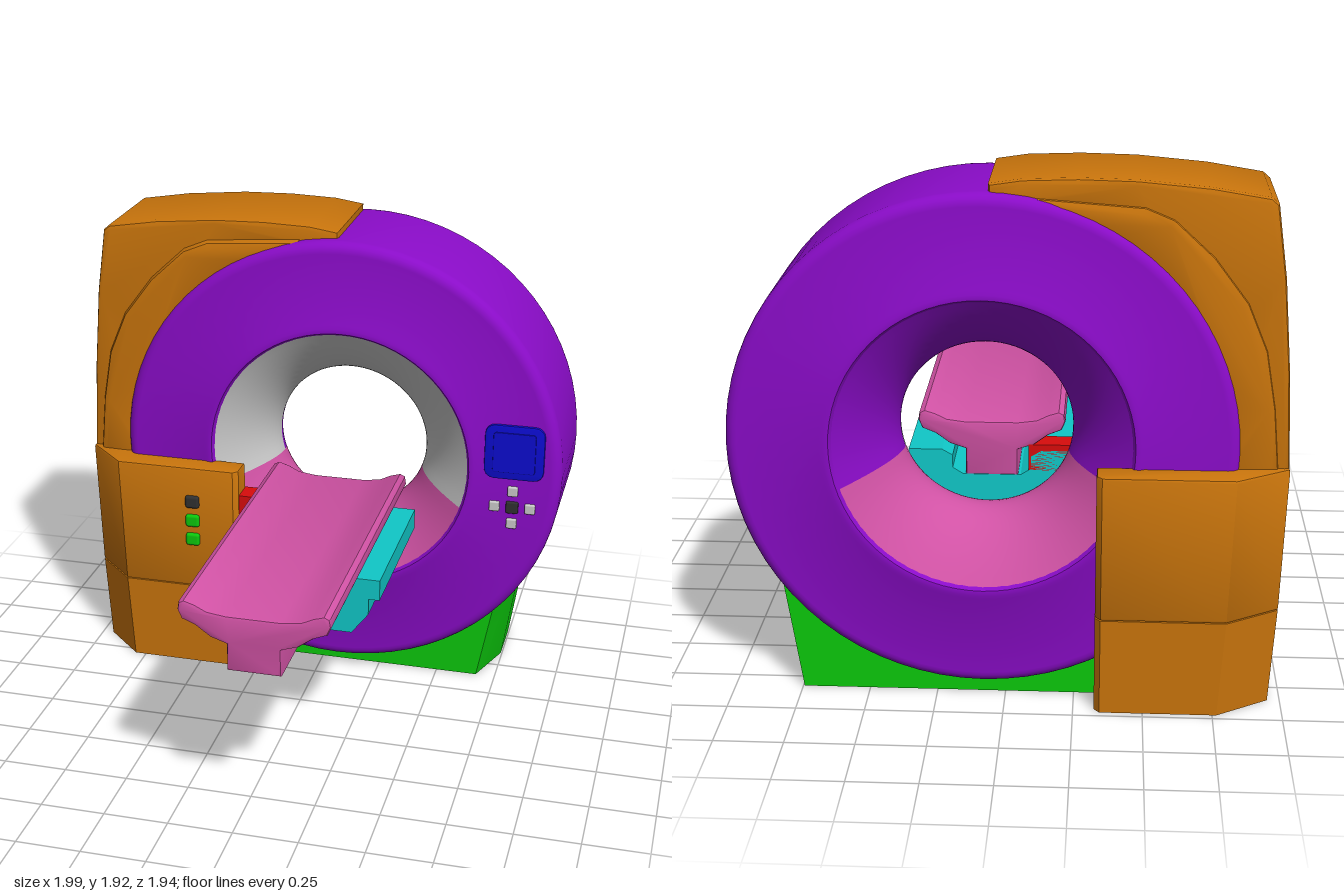
import * as THREE from 'three';
import { toCreasedNormals } from 'three/addons/utils/BufferGeometryUtils.js';
import { RoundedBoxGeometry } from 'three/addons/geometries/RoundedBoxGeometry.js';

const CX = 0.08, CY = 0.965, CZ = -0.595; // ring centre
const rad = THREE.MathUtils.degToRad;

const mat = (color, side = THREE.FrontSide) => new THREE.MeshStandardMaterial({ color, side });
const orange = mat(0xc8740c), purple = mat(0x8a0cc8, THREE.DoubleSide);
const green = mat(0x0cc80c), pink = mat(0xd052a4), pinkShell = mat(0xd052a4, THREE.DoubleSide);
const cyan = mat(0x10c8c8), red = mat(0xd80c0c), blue = mat(0x0c0cd0);
const grey = mat(0xcccccc), greyShell = mat(0xcccccc, THREE.DoubleSide), dark = mat(0x303030);

export function createModel() {
  const model = new THREE.Group();

  const add = (name, geo, material, x = 0, y = 0, z = 0) => {
    const mesh = new THREE.Mesh(geo, material);
    mesh.name = name;
    mesh.position.set(x, y, z);
    model.add(mesh);
    return mesh;
  };
  const shapeOf = pts => new THREE.Shape(pts.map(([x, y]) => new THREE.Vector2(x, y)));

  // Extrusion between two depths; the bevel stays inside the outline
  const slab = (pts, from, to, bevel = 0.012, steps = 1) => {
    const geo = new THREE.ExtrudeGeometry(shapeOf(pts), {
      depth: to - from - 2 * bevel, steps, bevelEnabled: bevel > 0,
      bevelThickness: bevel, bevelSize: bevel, bevelOffset: -bevel, bevelSegments: 2,
    });
    return geo.translate(0, 0, from + bevel);
  };
  const moved = (geo, rule) => {
    const p = geo.attributes.position, v = new THREE.Vector3();
    for (let i = 0; i < p.count; i++) {
      rule(v.fromBufferAttribute(p, i));
      p.setXYZ(i, v.x, v.y, v.z);
    }
    return toCreasedNormals(geo, 0.55);
  };
  // Lathe around the z axis, angle 0 at the bottom
  const ringPart = (name, profile, material, start = 0, sweep = 360) => {
    const pts = profile.map(([r, z]) => new THREE.Vector2(r, z));
    const geo = new THREE.LatheGeometry(pts, Math.ceil(sweep / 5), rad(start), rad(sweep));
    geo.rotateX(Math.PI / 2);
    add(name, toCreasedNormals(geo, 0.7), material, CX, CY, CZ);
  };

  // Gantry ring with rounded rims and a slight lip round the bore
  const half = 0.285, R = 0.91, f = 0.045, rim = [];
  for (let i = 0; i <= 5; i++) {
    const a = (i / 5) * Math.PI / 2;
    rim.push([R - f + f * Math.cos(a), half - f + f * Math.sin(a)]);
  }
  rim.push([0.575, half], [0.56, half + 0.008], [0.54, half + 0.006], [0.53, half - 0.01]);
  const back = rim.map(([r, z]) => [r, -z]).reverse();
  ringPart('gantryRing', [...back, ...rim], purple);

  // Flared bore: front grey, back purple, lower part a pink cradle
  const bore = (from, to) => {
    const pts = [];
    for (let i = 0; i <= 12; i++) {
      const t = from + (to - from) * i / 12;
      pts.push([0.315 + 0.22 * Math.abs(t) ** 1.9, t * (half - 0.006)]);
    }
    return pts;
  };
  ringPart('boreFront', bore(1, 0), greyShell, 72, 216);
  ringPart('boreBack', bore(0, -1), purple, 72, 216);
  ringPart('boreCradle', [...bore(1, 0), ...bore(0, -1).slice(1)], pinkShell, -72, 144);

  // Side tower: clasps the ring front and back, solid at the foot
  const plan = notch => [
    [-1, 0.85], [-1, 0.37], [-0.84, 0.215], [-0.345, 0.215], [-0.325, 0.235],
    ...(notch ? [[-0.325, 0.33], [-0.52, 0.33], [-0.52, 0.86], [-0.325, 0.86]] : []),
    [-0.325, 0.95], [-0.345, 0.975], [-0.81, 0.975],
  ];
  const taper = v => { if (v.x < -0.7) v.x += 0.045 * (1 - v.y / 0.9) ** 1.5; };
  const upright = (pts, from, to, bevel) => moved(slab(pts, from, to, bevel).rotateX(-Math.PI / 2), taper);
  add('towerFoot', upright(plan(false), 0, 0.36, 0), orange);
  add('towerClasp', upright(plan(true), 0.36, 0.9, 0.01), orange);

  // Upper cover wraps the ring's shoulder; a second stepped shell hugs the ring
  const innerArc = (from, to) => {
    const pts = [];
    for (let i = 0; i <= 14; i++) {
      const a = rad(from + (to - from) * i / 14);
      pts.push([CX + 0.85 * Math.cos(a), CY + 0.85 * Math.sin(a)]);
    }
    return pts;
  };
  add('shoulderCover', moved(slab([
    [0.085, 1.9], [-0.06, 1.917], [-0.25, 1.923], [-0.45, 1.918], [-0.7, 1.895], [-0.9, 1.862], [-0.925, 1.84],
    [-0.96, 1.58], [-0.985, 1.25], [-1, 0.88], ...innerArc(187, 90), [0.085, 1.815],
  ], -0.845, -0.375, 0.018), v => {
    // clipped corners at the free end
    if (v.x > 0.03 && Math.abs(v.z + 0.61) > 0.2) v.x -= 0.03;
  }), orange);
  add('shoulderShell', toCreasedNormals(slab([
    [-0.1, 1.86], [-0.48, 1.832], [-0.58, 1.79], [-0.72, 1.66], [-0.84, 1.5], [-0.91, 1.33],
    [-0.945, 1.12], [-0.965, 0.88], ...innerArc(187, 102),
  ], -0.86, -0.34, 0.03), 0.55), orange);

  // Base wedge, its front outer corner cut back
  add('base', moved(slab([
    [-0.33, 0], [0.745, 0], [0.81, 0.42], [0.72, 0.42], [0.5, 0.25], [0.2, 0.13], [-0.1, 0.13], [-0.33, 0.2],
  ], -0.825, -0.395, 0, 2), v => {
    if (v.z > -0.5 && v.x > 0.7) {
      v.x -= 0.075;
      if (v.y > 0.3) v.y -= 0.075;
    }
  }), green);

  // Patient table: concave top with rolled edges on a central keel
  const side = [
    [0.1, 0.66], [0.1, 0.765], [0.16, 0.785], [0.215, 0.825], [0.265, 0.845], [0.28, 0.88],
    [0.275, 0.91], [0.255, 0.92], [0.215, 0.908], [0.17, 0.886], [0.1, 0.877],
  ];
  const mirrored = side.map(([x, y]) => [CX - x, y]).reverse();
  add('table', toCreasedNormals(
    slab([...side.map(([x, y]) => [CX + x, y]), ...mirrored], -0.34, 0.97, 0.012), 0.6), pink);

  // Table carriage and its side bracket
  const rail = [
    [0.21, 0.53], [0.275, 0.615], [0.275, 0.68], [0.318, 0.68], [0.318, 0.763],
    [0.19, 0.763], [0.15, 0.74], [0.15, 0.69], [0.11, 0.665],
  ];
  add('carriage', slab([
    ...rail.map(([x, y]) => [CX + x, y]), ...rail.map(([x, y]) => [CX - x, y]).reverse(),
  ], -0.34, 0.34, 0), cyan);
  add('carriageBracket', new THREE.BoxGeometry(0.305, 0.225, 0.1), red, -0.2125, 0.675, -0.29);

  // Display on the ring
  const roundedPlate = (w, h, r) => {
    const pts = [];
    [[1, 1], [-1, 1], [-1, -1], [1, -1]].forEach(([sx, sy], q) => {
      for (let i = 0; i <= 4; i++) {
        const a = (q + i / 4) * Math.PI / 2;
        pts.push([sx * (w / 2 - r) + r * Math.cos(a), sy * (h / 2 - r) + r * Math.sin(a)]);
      }
    });
    return pts;
  };
  add('displayFrame', toCreasedNormals(slab(roundedPlate(0.24, 0.23, 0.04), 0, 0.02, 0.005), 0.5), blue, 0.8, 1.07, -0.318);
  add('displayScreen', slab(roundedPlate(0.17, 0.17, 0.012), 0, 0.008, 0.003), blue, 0.8, 1.07, -0.3);

  // Keypad cross
  const key = s => new RoundedBoxGeometry(s, s, 0.03, 2, 0.006);
  [[0, 0], [1, 0], [-1, 0], [0, 1], [0, -1]].forEach(([dx, dy], i) =>
    add(i ? 'arrowKey' : 'centreKey', key(i ? 0.042 : 0.05), i ? grey : dark, 0.8 + dx * 0.072, 0.832 + dy * 0.07, -0.312));

  // Tower buttons
  [0.75, 0.665, 0.58].forEach((y, i) =>
    add('towerButton', new RoundedBoxGeometry(0.06, 0.055, 0.04, 2, 0.012), i ? green : dark, -0.52, y, -0.22));

  return model;
}
